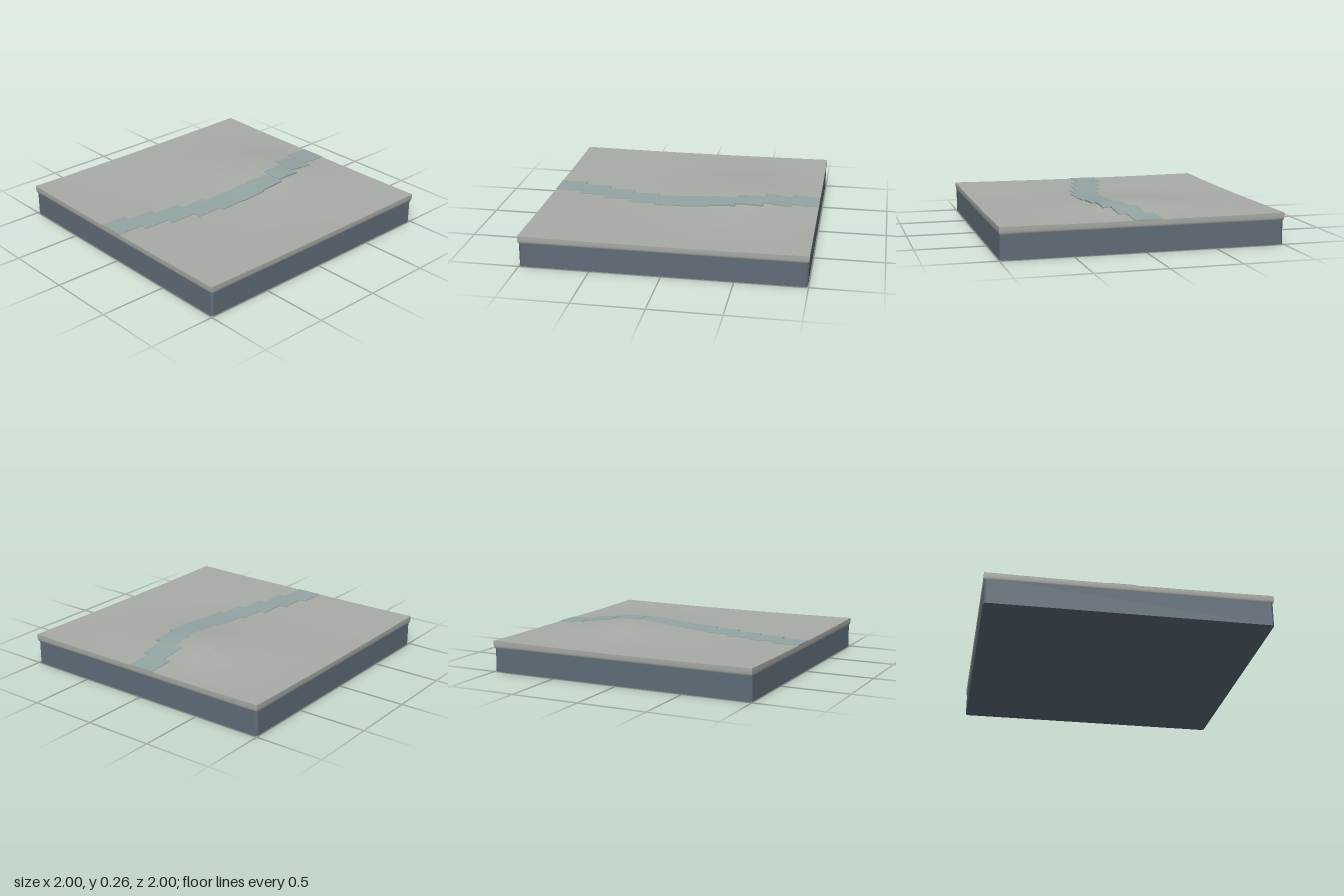
import * as THREE from 'three';

const material = (color, flat = true) => new THREE.MeshStandardMaterial({ color, flatShading: flat });

// Ground height: a shallow dish with one low hill, steeper at the back
function ground(x, z) {
  const dx = x + 0.08, dz = z + 0.46;
  const hill = 0.05 * Math.exp(-dx * dx / 0.2 - dz * dz / (dz < 0 ? 0.1 : 0.2));
  return 0.212 + 0.007 * (x * x + z * z) + hill;
}

// Move every vertex of a geometry by a rule
function reshape(geometry, rule) {
  const p = geometry.attributes.position, v = new THREE.Vector3();
  for (let i = 0; i < p.count; i++) {
    v.fromBufferAttribute(p, i);
    rule(v);
    p.setXYZ(i, v.x, v.y, v.z);
  }
  geometry.computeVertexNormals();
  return geometry;
}

export function createModel() {
  const model = new THREE.Group();
  const add = (name, geometry, mat, parent = model) => {
    const mesh = new THREE.Mesh(geometry, mat);
    mesh.name = name;
    parent.add(mesh);
    return mesh;
  };

  // Base block with chamfered upright corners
  const s = 0.995, c = 0.98;
  const outline = new THREE.Shape([
    [c, -s], [s, -c], [s, c], [c, s], [-c, s], [-s, c], [-s, -c], [-c, -s],
  ].map(([x, y]) => new THREE.Vector2(x, y)));
  const block = new THREE.ExtrudeGeometry(outline, { depth: 0.19, bevelEnabled: false });
  block.rotateX(-Math.PI / 2);
  add('base', block, material(0x5f6d78));

  // Terrain surface
  const stone = material(0xa9aba6);
  const surface = new THREE.PlaneGeometry(2, 2, 20, 20).rotateX(-Math.PI / 2);
  add('terrain', reshape(surface, v => { v.y = ground(v.x, v.z); }), stone);

  // Rim: four mitred sides, curling in under the terrain edge
  const rim = new THREE.Group();
  rim.name = 'rim';
  model.add(rim);
  const profile = [[1, 0.225], [1, 0.205], [0.999, 0.188], [0.996, 0.175], [0.985, 0.165]];
  for (let side = 0; side < 4; side++) {
    const angle = side * Math.PI / 2;
    const strip = new THREE.PlaneGeometry(2, 4, 20, 4);
    reshape(strip, v => {
      const row = Math.round(2 - v.y);
      const [out, y] = profile[row];
      v.set(v.x * out, y, out).applyAxisAngle(THREE.Object3D.DEFAULT_UP, angle);
      if (row === 0) v.y = ground(v.x, v.z);
    });
    add('rimSide', strip, material(0xa9aba6, false), rim);
  }

  // River: stepped tiles, level across and following the ground lengthwise
  const river = new THREE.Group();
  river.name = 'river';
  model.add(river);
  const water = material(0x94a5a3);
  const centres = [-0.015, 0.04, 0.097, 0.13, 0.142, 0.133, 0.097, 0.04, -0.012, -0.067];
  centres.forEach((cx, i) => {
    const tile = new THREE.BoxGeometry(0.195, 0.012, 0.2, 1, 1, 4);
    tile.translate(cx, 0, -0.9 + i * 0.2);
    reshape(tile, v => { v.y += ground(cx, v.z) - 0.002; });
    add('riverTile', tile, water, river);
  });

  return model;
}
